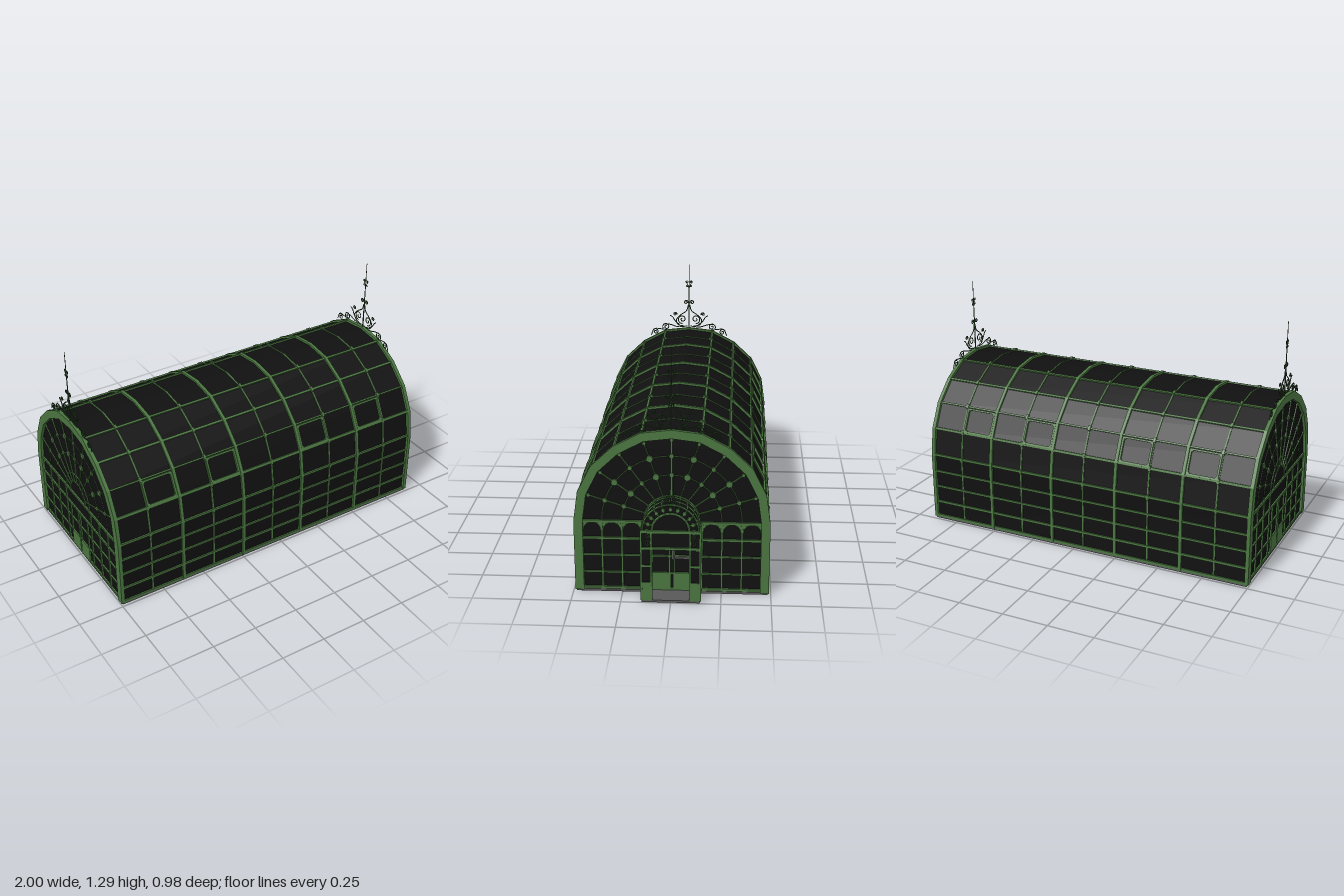
import * as THREE from 'three';

const mat = (name, color) => {
  const m = new THREE.MeshStandardMaterial({ color });
  m.name = name;
  return m;
};

export function createModel() {
  const green = mat('green paint', 0x4a7540);
  const iron = mat('dark green iron', 0x2c4a28);
  const glass = mat('black glass', 0x101010);
  const stone = mat('grey floor', 0x585858);
  const root = new THREE.Group();
  const SPRING = 0.39;

  // arch corners (z, y) of one half, from the foot to the ridge
  const half = [[0.485, 0.01], [0.485, 0.39], [0.463, 0.545], [0.396, 0.68], [0.285, 0.785], [0.148, 0.858], [0, 0.876]];

  const add = (parent, name, geo, m, x = 0, y = 0, z = 0) => {
    const o = new THREE.Mesh(geo, m);
    o.name = name;
    o.position.set(x, y, z);
    parent.add(o);
    return o;
  };
  const group = (name) => {
    const g = new THREE.Group();
    g.name = name;
    root.add(g);
    return g;
  };
  const box = (p, name, m, sx, sy, sz, x, y, z) => add(p, name, new THREE.BoxGeometry(sx, sy, sz), m, x, y, z);

  // closed arch outline moved outward by d
  const outline = (d) => {
    const k = 1 + d / 0.486;
    const side = half.map(([z, y]) => [z * k, y > 0.3 ? SPRING + (y - SPRING) * k : y]);
    const other = side.slice(0, -1).reverse().map(([z, y]) => [-z, y]);
    return [...side, ...other].map(([z, y]) => new THREE.Vector2(z, y));
  };
  // extrude a z-y shape along x from x0 to x0 + w
  const extrudeX = (shape, x0, w) => new THREE.ExtrudeGeometry(shape, { depth: w, bevelEnabled: false, curveSegments: 20 })
    .rotateY(-Math.PI / 2).translate(x0 + w, 0, 0);
  const hoop = (p, name, x0, w, out, inn) => {
    const inner = outline(inn);
    const s = new THREE.Shape([...outline(out), ...inner.reverse()]);
    return add(p, name, extrudeX(s, x0, w), green);
  };
  // straight bar between two z-y points
  const bar = (p, name, x, a, b, w, t, m = green) => {
    const dz = b[0] - a[0], dy = b[1] - a[1];
    const o = box(p, name, m, t, Math.hypot(dz, dy), w, x, (a[1] + b[1]) / 2, (a[0] + b[0]) / 2);
    o.rotation.x = Math.atan2(dz, dy);
    return o;
  };
  // half-round bar in the z-y plane
  const arc = (p, name, x, z, y, r, w) =>
    add(p, name, new THREE.TorusGeometry(r, w / 2, 4, 20, Math.PI).rotateY(-Math.PI / 2), green, x, y, z);
  const node = (p, name, x, z, y, r, t = 0.012) =>
    add(p, name, new THREE.CylinderGeometry(r, r, t, 8).rotateZ(Math.PI / 2), green, x, y, z);
  const wire = (p, name, x, pts, r = 0.003) => {
    const curve = new THREE.CatmullRomCurve3(pts.map(([z, y]) => new THREE.Vector3(x, y, z)));
    return add(p, name, new THREE.TubeGeometry(curve, pts.length * 3, r, 4), iron);
  };
  // spiral scroll; s mirrors it across z = 0
  const scroll = (p, x, s, z, y, r, start, turn = 1, thick = 0.003) => {
    const pts = [];
    for (let i = 0; i <= 14; i++) {
      const a = start + turn * i * 0.65, q = r * (1 - i / 17);
      pts.push([s * (z + q * Math.cos(a)), y + q * Math.sin(a)]);
    }
    wire(p, 'scroll', x, pts, thick);
  };

  // floor and glazed hall
  box(root, 'floor', stone, 1.88, 0.012, 0.97, -0.05, 0.006, 0);
  box(root, 'porchFloor', stone, 0.11, 0.012, 0.29, 0.94, 0.006, 0);
  add(root, 'hallGlazing', extrudeX(new THREE.Shape(outline(-0.006)), -0.985, 1.86), glass);

  // ribs and joints
  const ribs = group('ribs');
  hoop(ribs, 'endHoop', -1, 0.02, 0.005, -0.04);
  hoop(ribs, 'endHoop', 0.878, 0.02, 0.005, -0.04);
  for (let i = 1; i < 10; i++) {
    const x = -0.998 + i * 0.189;
    if (i % 2 === 0) hoop(ribs, 'mainRib', x - 0.009, 0.018, 0.005, -0.015);
    else {
      hoop(ribs, 'thinRib', x - 0.004, 0.008, -0.002, -0.015);
      for (const [z, y] of half.slice(1, 6)) for (const s of [-1, 1])
        box(ribs, 'ribJoint', green, 0.014, 0.028, 0.014, x, y, s * (z - 0.003)).rotation.x = s * Math.atan2(-(y - SPRING), z);
    }
  }

  // long rails
  const rails = group('rails');
  const railRows = [[0.481, 0.017, 0.014], [0.481, 0.105, 0.013], [0.481, 0.2, 0.011], [0.481, 0.293, 0.011],
    [0.481, 0.392, 0.013], [0.459, 0.545, 0.015], [0.392, 0.678, 0.009], [0.282, 0.782, 0.012], [0.147, 0.853, 0.012]];
  for (const [z, y, h] of railRows) for (const s of [-1, 1])
    box(rails, 'rail', green, 1.87, h, 0.012, -0.05, y, s * z).rotation.x = y > 0.4 ? s * Math.atan2(-(y - SPRING), z) : 0;

  // opening vent frames on both slopes
  for (const x of [-0.72, -0.342, 0.232, 0.608]) for (const s of [-1, 1]) {
    const v = group('roofVent');
    v.position.set(x, 0.612, s * 0.43);
    v.rotation.x = Math.atan2(-s * 0.067, 0.135);
    for (const k of [-1, 1]) {
      box(v, 'ventStile', green, 0.01, 0.132, 0.012, k * 0.083, 0, 0);
      box(v, 'ventRail', green, 0.17, 0.01, 0.012, 0, k * 0.064, 0);
      for (const j of [-1, 1])
        box(v, 'ventCorner', green, 0.022, 0.008, 0.01, k * 0.076, j * 0.057, 0).rotation.z = -k * j * Math.PI / 4;
    }
  }

  // gable end: grid of bars, small arches and fan light
  const gable = (x) => {
    const g = group('gableEnd');
    for (const [y, w] of [[0.017, 0.014], [0.105, 0.008], [0.2, 0.008], [0.293, 0.012], [0.385, 0.014]])
      bar(g, 'crossBar', x, [-0.45, y], [0.45, y], w, 0.014);
    for (const s of [-1, 1]) {
      for (const z of [0.45, 0.35, 0.25, 0.15]) bar(g, 'mullion', x, [s * z, 0.012], [s * z, 0.39], 0.01, 0.014);
      for (const z of [0.4, 0.3, 0.2]) {
        arc(g, 'smallArch', x, s * z, 0.335, 0.046, 0.008);
        for (const k of [-1, 1]) bar(g, 'spandrel', x, [s * z + k * 0.046, 0.36], [s * z + k * 0.03, 0.385], 0.012, 0.008);
      }
      for (const z of [0.1, 0.012]) bar(g, 'doorStile', x, [s * z, 0.012], [s * z, 0.293], 0.008, 0.014);
      box(g, 'doorPanel', green, 0.014, 0.09, 0.094, x, 0.058, s * 0.052);
    }
    // fan light
    for (const r of [0.14, 0.09]) arc(g, 'fanRing', x, 0, SPRING, r, 0.01);
    for (const r of [0.25, 0.35]) arc(g, 'fanArc', x, 0, SPRING, r, 0.005);
    for (let i = 1; i < 10; i++) {
      const a = i * Math.PI / 10, c = Math.cos(a), n = Math.sin(a);
      const at = (r) => [c * r, SPRING + n * r];
      bar(g, 'spoke', x, at(0.09), at(0.455), i === 5 ? 0.01 : 0.005, 0.01);
      node(g, 'rosette', x, ...at(0.35), i % 2 ? 0.012 : 0.017);
      node(g, 'rosette', x, ...at(0.25), i % 2 ? 0.012 : 0.017);
      node(g, 'rosette', x, ...at(0.435), 0.009);
    }
  };
  gable(0.879);
  gable(-0.986);

  // wrought crest with spire above each gable
  const crest = (x) => {
    const g = group('crest');
    add(g, 'spire', new THREE.CylinderGeometry(0.0015, 0.004, 0.415, 6), iron, x, 1.078, 0);
    for (const s of [-1, 1]) {
      scroll(g, x, s, 0.042, 0.935, 0.03, -1.6, 1);
      scroll(g, x, s, 0.145, 0.885, 0.024, -0.5, 1);
      scroll(g, x, s, 0.212, 0.852, 0.02, 0.2, 1);
      scroll(g, x, s, 0.088, 0.968, 0.012, 3.5, -1);
      scroll(g, x, s, 0.019, 1.045, 0.014, 3.6, -1);
      scroll(g, x, s, 0.014, 1.175, 0.009, 3.6, -1, 0.002);
      scroll(g, x, s, 0.012, 1.15, 0.007, 2.6, 1, 0.002);
      wire(g, 'stem', x, [[s * 0.004, 1.03], [s * 0.016, 0.99], [s * 0.05, 0.965], [s * 0.08, 0.93], [s * 0.07, 0.9], [s * 0.03, 0.89]]);
      wire(g, 'stem', x, [[s * 0.01, 0.89], [s * 0.07, 0.885], [s * 0.12, 0.9], [s * 0.16, 0.902]]);
      wire(g, 'stem', x, [[s * 0.13, 0.862], [s * 0.18, 0.87], [s * 0.22, 0.87], [s * 0.24, 0.83]]);
      wire(g, 'tendril', x, [[s * 0.06, 0.9], [s * 0.085, 0.92], [s * 0.105, 0.95], [s * 0.12, 0.958]]);
      wire(g, 'tendril', x, [[s * 0.003, 1.14], [s * 0.01, 1.16], [s * 0.02, 1.182]], 0.002);
    }
  };
  crest(-0.99);
  crest(0.889);

  // porch: glazed sides, barrel vault and open doorway
  const porch = group('porch');
  const vault = new THREE.Shape();
  vault.moveTo(0.139, 0.3);
  vault.lineTo(0.139, SPRING);
  vault.absarc(0, SPRING, 0.139, 0, Math.PI);
  vault.lineTo(-0.139, 0.3);
  add(porch, 'porchGlazing', extrudeX(vault, 0.88, 0.108), glass);
  const fx = 0.991;
  for (const s of [-1, 1]) {
    box(porch, 'sideGlass', glass, 0.1, 0.38, 0.008, 0.94, 0.2, s * 0.143);
    box(porch, 'frontGlass', glass, 0.008, 0.38, 0.05, 0.988, 0.2, s * 0.122);
    box(porch, 'sidePanel', green, 0.012, 0.095, 0.05, fx, 0.058, s * 0.122);
    for (const y of [0.105, 0.2, 0.293, 0.385]) {
      box(porch, 'sideRail', green, 0.11, 0.01, 0.01, 0.942, y, s * 0.145);
      box(porch, 'frontRail', green, 0.012, 0.01, 0.05, fx, y, s * 0.122);
    }
    box(porch, 'sideSill', green, 0.11, 0.014, 0.01, 0.942, 0.019, s * 0.145);
    for (const z of [0.146, 0.096]) bar(porch, 'porchPost', fx, [s * z, 0.012], [s * z, 0.39], 0.01, 0.014);
    scroll(porch, fx + 0.003, s, 0.115, 0.325, 0.016, 1.5, 1);
    scroll(porch, fx + 0.003, s, 0.116, 0.362, 0.012, -1.5, -1);
    scroll(porch, fx, s, 0.018, 0.545, 0.013, 2.6, 1);
    scroll(porch, fx, s, 0.012, 0.57, 0.009, 3.4, -1);
  }
  bar(porch, 'transom', fx, [-0.145, 0.385], [0.145, 0.385], 0.016, 0.014);
  bar(porch, 'lintel', fx, [-0.145, 0.296], [0.145, 0.296], 0.012, 0.014);
  for (const x of [0.902, 0.945, fx]) arc(porch, 'vaultRib', x, 0, SPRING, 0.14, 0.01);
  arc(porch, 'innerArch', fx, 0, SPRING, 0.092, 0.012);
  for (let i = 0; i <= 10; i++) {
    const a = i * Math.PI / 10, c = Math.cos(a), n = Math.sin(a);
    box(porch, 'vaultBar', green, 0.11, 0.006, 0.006, 0.942, SPRING + n * 0.14, c * 0.14);
    bar(porch, 'archSpoke', fx, [c * 0.09, SPRING + n * 0.09], [c * 0.14, SPRING + n * 0.14], 0.005, 0.01);
    node(porch, 'archStud', fx, c * 0.116, SPRING + n * 0.116, 0.01);
  }
  wire(porch, 'porchFinial', fx, [[0, 0.53], [0, 0.57], [0, 0.61]], 0.002);

  // door furniture
  box(porch, 'doorBar', stone, 0.008, 0.012, 0.078, 0.89, 0.197, -0.05);
  box(porch, 'doorHandle', stone, 0.008, 0.08, 0.008, 0.89, 0.228, -0.004);
  return root;
}
